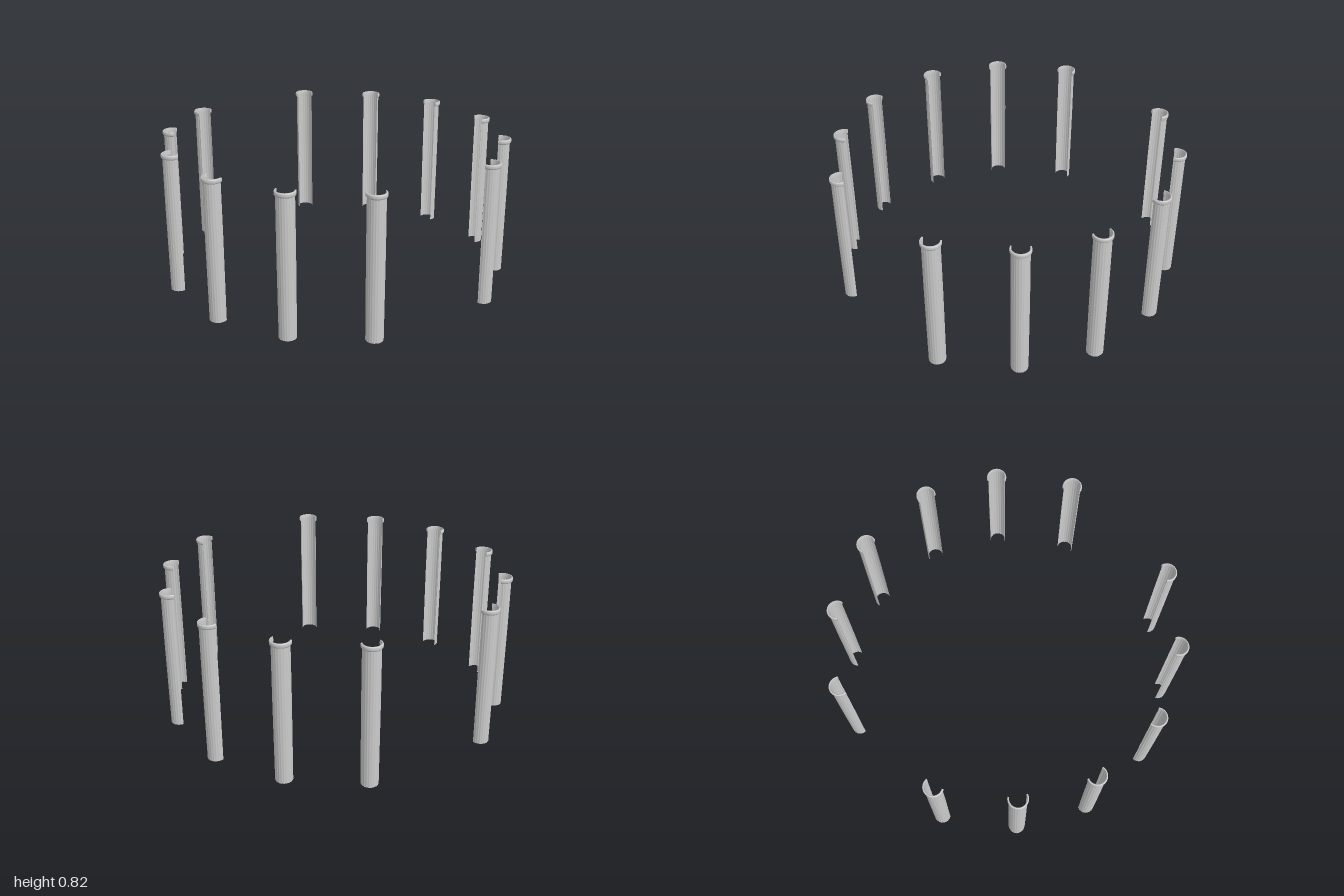
import * as THREE from 'three';

const rad = THREE.MathUtils.degToRad;
const ARC = 216; // degrees of wall left on each open column
const FLUTES = 13;

// Right-hand half of the ring: x, z and the direction (x towards z, degrees) the wall bulges
const COLUMNS = [
  [0.385, -0.902, -75],
  [0.74, -0.62, -35],
  [0.94, -0.23, -5],
  [0.94, 0.235, 18],
  [0.74, 0.62, 45],
  [0.385, 0.902, 60],
];

const material = new THREE.MeshStandardMaterial({ color: 0xcccccc, side: THREE.DoubleSide });

// Partial lathe centred on the +x direction
function shell(profile, segments) {
  const points = profile.map(([r, y]) => new THREE.Vector2(r, y));
  return new THREE.LatheGeometry(points, segments, rad(90 - ARC / 2), rad(ARC));
}

// Fluted shaft, a little narrower at the foot
function shaftGeometry() {
  const geometry = shell([[0.0485, 0], [0.0495, 0.25], [0.0505, 0.5], [0.05, 0.802]], FLUTES * 6);
  const p = geometry.attributes.position;
  for (let i = 0; i < p.count; i++) {
    const angle = Math.atan2(p.getZ(i), p.getX(i)) + rad(ARC / 2);
    const k = 1 - 0.03 * Math.abs(Math.sin((angle / rad(ARC)) * FLUTES * Math.PI));
    p.setXYZ(i, p.getX(i) * k, p.getY(i), p.getZ(i) * k);
  }
  geometry.computeVertexNormals();
  return geometry;
}

// Rounded collar around the top, open in the middle
function collarGeometry() {
  return shell([
    [0.048, 0.797], [0.053, 0.797], [0.0565, 0.801], [0.0575, 0.807],
    [0.0575, 0.816], [0.056, 0.821], [0.053, 0.823], [0.048, 0.823], [0.048, 0.797],
  ], 36);
}

// Flat end caps of the cut collar
function collarEndGeometry() {
  const s = new THREE.Shape();
  s.moveTo(0.048, 0.797);
  s.lineTo(0.053, 0.797);
  s.quadraticCurveTo(0.0575, 0.799, 0.0575, 0.807);
  s.lineTo(0.0575, 0.816);
  s.quadraticCurveTo(0.0575, 0.823, 0.053, 0.823);
  s.lineTo(0.048, 0.823);
  return new THREE.ShapeGeometry(s, 4);
}

export function createModel() {
  const model = new THREE.Group();
  model.name = 'columnRing';
  const parts = { shaft: shaftGeometry(), collar: collarGeometry() };
  const endGeometry = collarEndGeometry();

  for (const side of [1, -1]) {
    COLUMNS.forEach(([x, z, facing], i) => {
      const column = new THREE.Group();
      column.name = (side > 0 ? 'leftColumn' : 'rightColumn') + (i + 1);
      for (const name in parts) {
        const mesh = new THREE.Mesh(parts[name], material);
        mesh.name = name;
        column.add(mesh);
      }
      for (const end of [1, -1]) {
        const cap = new THREE.Mesh(endGeometry, material);
        cap.name = 'collarEnd';
        cap.rotation.y = rad((end * ARC) / 2);
        column.add(cap);
      }
      column.position.set(side * x, 0, z);
      column.rotation.y = -rad(side > 0 ? facing : 180 - facing);
      model.add(column);
    });
  }
  return model;
}
